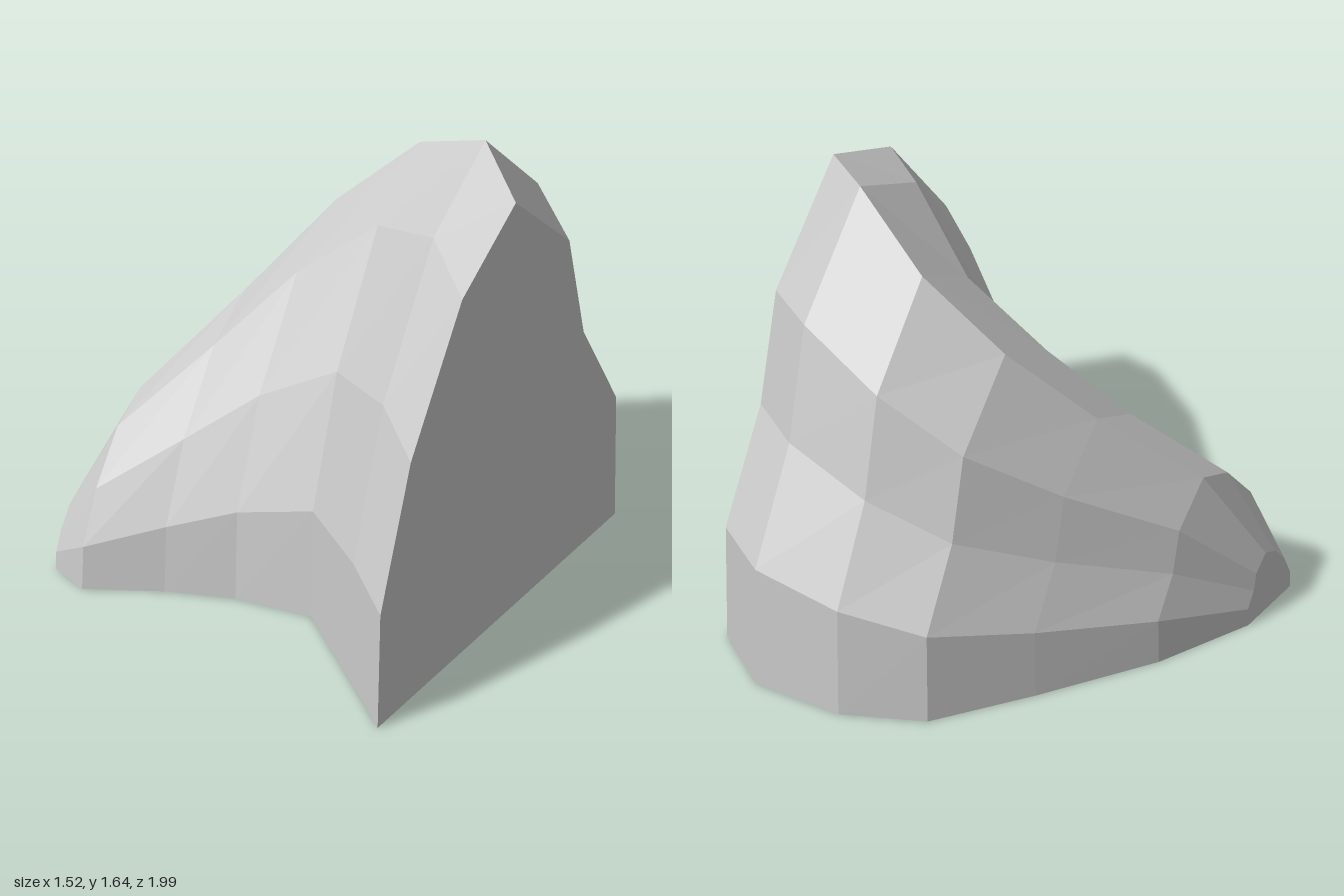
import * as THREE from 'three';

// Cross-section as [z, y]: up the front, over the ridge and down the back.
// z is measured from the ridge, y as a fraction of the height.
const PROFILE = [
  [1.02, 0], [1.0, 0.274], [0.775, 0.588], [0.395, 0.879], [0, 1],
  [-0.395, 0.785], [-0.5, 0.525], [-0.74, 0.288], [-0.73, 0],
];

// Stations along the rock: x, ridge z, depth scale, height
const STATIONS = [
  [-0.76, 0.32, 0.165, 0.23],
  [-0.61, 0.15, 0.42, 0.585],
  [-0.35, -0.13, 0.58, 0.9],
  [-0.11, -0.35, 0.73, 1.21],
  [0.18, -0.42, 0.79, 1.475],
  [0.52, -0.26, 0.975, 1.645],
  [0.76, -0.03, 1, 1.57],
];

function loftGeometry() {
  const n = PROFILE.length;
  const last = STATIONS.length - 1;
  const positions = [];
  const index = [];

  for (const [x, ridge, depth, height] of STATIONS) {
    for (const [z, y] of PROFILE) positions.push(x, y * height, ridge + z * depth);
  }

  // Skin between stations; the wrap-around strip is the flat underside
  for (let i = 0; i < last; i++) {
    for (let j = 0; j < n; j++) {
      const k = (j + 1) % n;
      const a = i * n + j, b = a + n, c = (i + 1) * n + k, d = i * n + k;
      index.push(a, b, c, a, c, d);
    }
  }

  // Flat end faces
  for (let j = 1; j < n - 1; j++) {
    index.push(0, j, j + 1);
    index.push(last * n, last * n + j + 1, last * n + j);
  }

  const indexed = new THREE.BufferGeometry();
  indexed.setAttribute('position', new THREE.Float32BufferAttribute(positions, 3));
  indexed.setIndex(index);
  const geometry = indexed.toNonIndexed();
  geometry.computeVertexNormals();
  return geometry;
}

export function createModel() {
  const stone = new THREE.MeshStandardMaterial({ color: 0xcccccc, flatShading: true });
  stone.name = 'stone grey';

  const rock = new THREE.Mesh(loftGeometry(), stone);
  rock.name = 'rock';

  const model = new THREE.Group();
  model.name = 'cliffRock';
  model.add(rock);
  return model;
}
